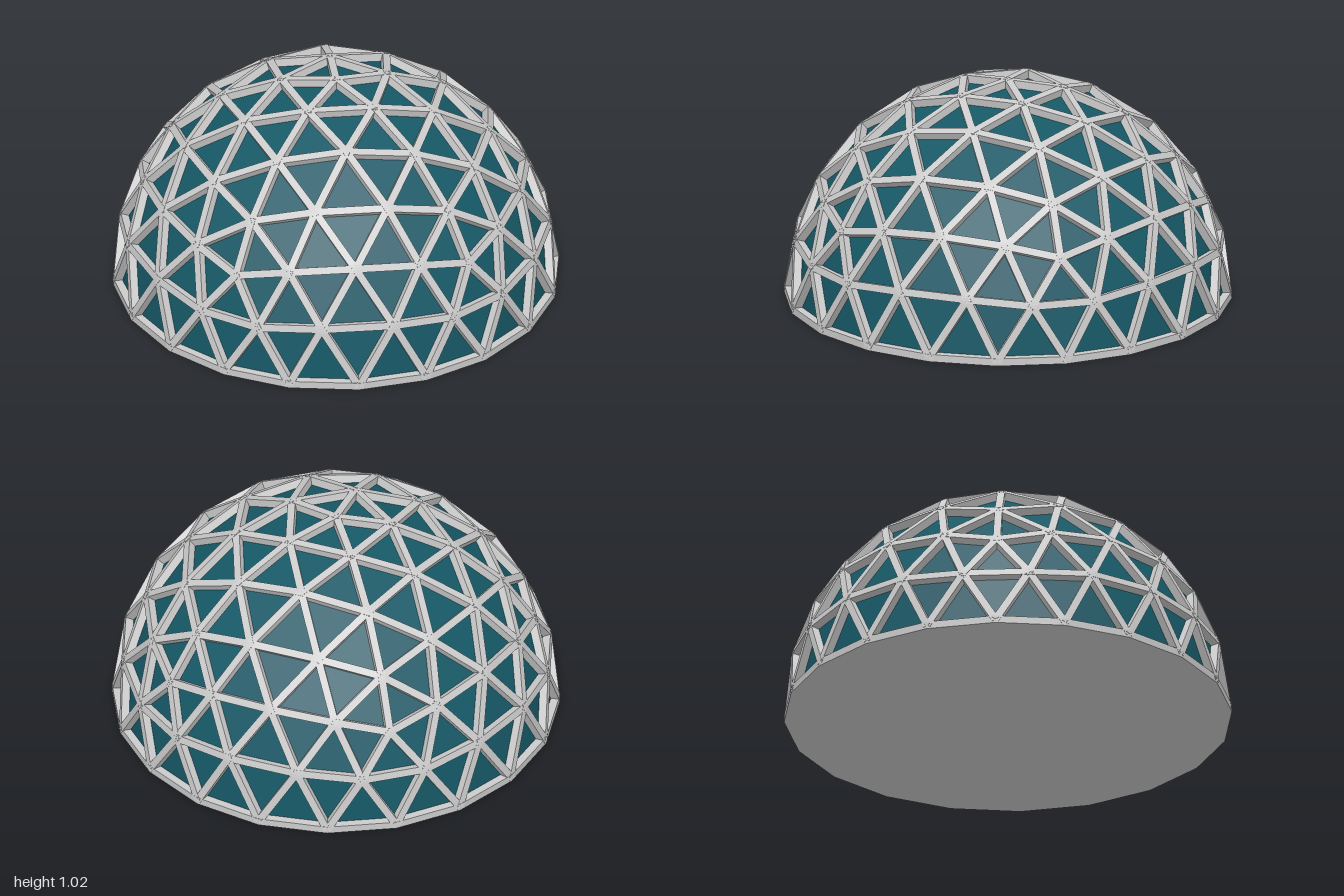
import * as THREE from 'three';
import { mergeGeometries } from 'three/addons/utils/BufferGeometryUtils.js';

const FREQ = 4;            // subdivisions per icosahedron edge
const STRUT_W = 0.034;     // strut width across the surface
const STRUT_D = 0.045;     // strut depth towards the centre
const PANEL_SCALE = 0.965; // panels sit recessed behind the struts

// Icosahedron standing on a vertex: apex, upper ring and lower ring
function icosahedronFaces() {
  const ring = (y, offset) => Array.from({ length: 5 }, (_, i) => {
    const a = (i + offset) * Math.PI * 2 / 5, r = 2 / Math.sqrt(5);
    return new THREE.Vector3(r * Math.cos(a), y, r * Math.sin(a));
  });
  const apex = new THREE.Vector3(0, 1, 0);
  const up = ring(1 / Math.sqrt(5), 0), low = ring(-1 / Math.sqrt(5), 0.5);
  const faces = [];
  for (let i = 0; i < 5; i++) {
    const j = (i + 1) % 5;
    faces.push([apex, up[j], up[i]], [up[i], up[j], low[i]], [up[j], low[j], low[i]]);
  }
  return faces;
}

// Geodesic triangles on the unit sphere, kept above the equator
function domeTriangles() {
  const tris = [];
  for (const [a, b, c] of icosahedronFaces()) {
    const point = (i, j) => new THREE.Vector3()
      .addScaledVector(a, FREQ - i - j).addScaledVector(b, i).addScaledVector(c, j).normalize();
    const add = (...t) => { if (t.every(p => p.y > -1e-4)) tris.push(t); };
    for (let i = 0; i < FREQ; i++) {
      for (let j = 0; j < FREQ - i; j++) {
        add(point(i, j), point(i + 1, j), point(i, j + 1));
        if (i + j < FREQ - 1) add(point(i + 1, j), point(i + 1, j + 1), point(i, j + 1));
      }
    }
  }
  return tris;
}

// Box bar whose outer face runs from a to b
function strut(a, b) {
  const along = b.clone().sub(a), length = along.length();
  along.normalize();
  const mid = a.clone().add(b).multiplyScalar(0.5);
  const out = mid.clone().normalize();
  const side = new THREE.Vector3().crossVectors(out, along);
  const frame = new THREE.Matrix4().makeBasis(side, out, along);
  frame.setPosition(mid.addScaledVector(out, -STRUT_D / 2));
  return new THREE.BoxGeometry(STRUT_W, STRUT_D, length).applyMatrix4(frame);
}

export function createModel() {
  const dome = new THREE.Group();
  dome.name = 'geodesicDome';
  const grey = new THREE.MeshStandardMaterial({ color: 0xcccccc, flatShading: true });
  const teal = new THREE.MeshStandardMaterial({ color: 0x165866, flatShading: true, side: THREE.DoubleSide });

  const tris = domeTriangles();
  const lift = STRUT_W / 2; // the base ring rests on the ground

  // Recessed triangular panels
  const panelGeo = new THREE.BufferGeometry().setFromPoints(
    tris.flat().map(p => p.clone().multiplyScalar(PANEL_SCALE)));
  panelGeo.computeVertexNormals();
  const panels = new THREE.Mesh(panelGeo, teal);
  panels.name = 'panels';
  panels.position.y = lift;

  // One strut along every shared edge
  const key = p => p.toArray().map(v => Math.round(v * 1000) + 0).join(',');
  const edges = new Map();
  for (const t of tris) {
    t.forEach((a, i) => {
      const b = t[(i + 1) % 3];
      edges.set([key(a), key(b)].sort().join('|'), [a, b]);
    });
  }
  const struts = new THREE.Mesh(mergeGeometries([...edges.values()].map(([a, b]) => strut(a, b))), grey);
  struts.name = 'struts';
  struts.position.y = lift;

  // Twenty-sided floor closing the underside
  const floor = new THREE.Mesh(new THREE.CircleGeometry(1, 20).rotateX(Math.PI / 2),
    new THREE.MeshStandardMaterial({ color: 0xcccccc, flatShading: true, side: THREE.DoubleSide }));
  floor.name = 'floor';

  dome.add(panels, struts, floor);
  return dome;
}
